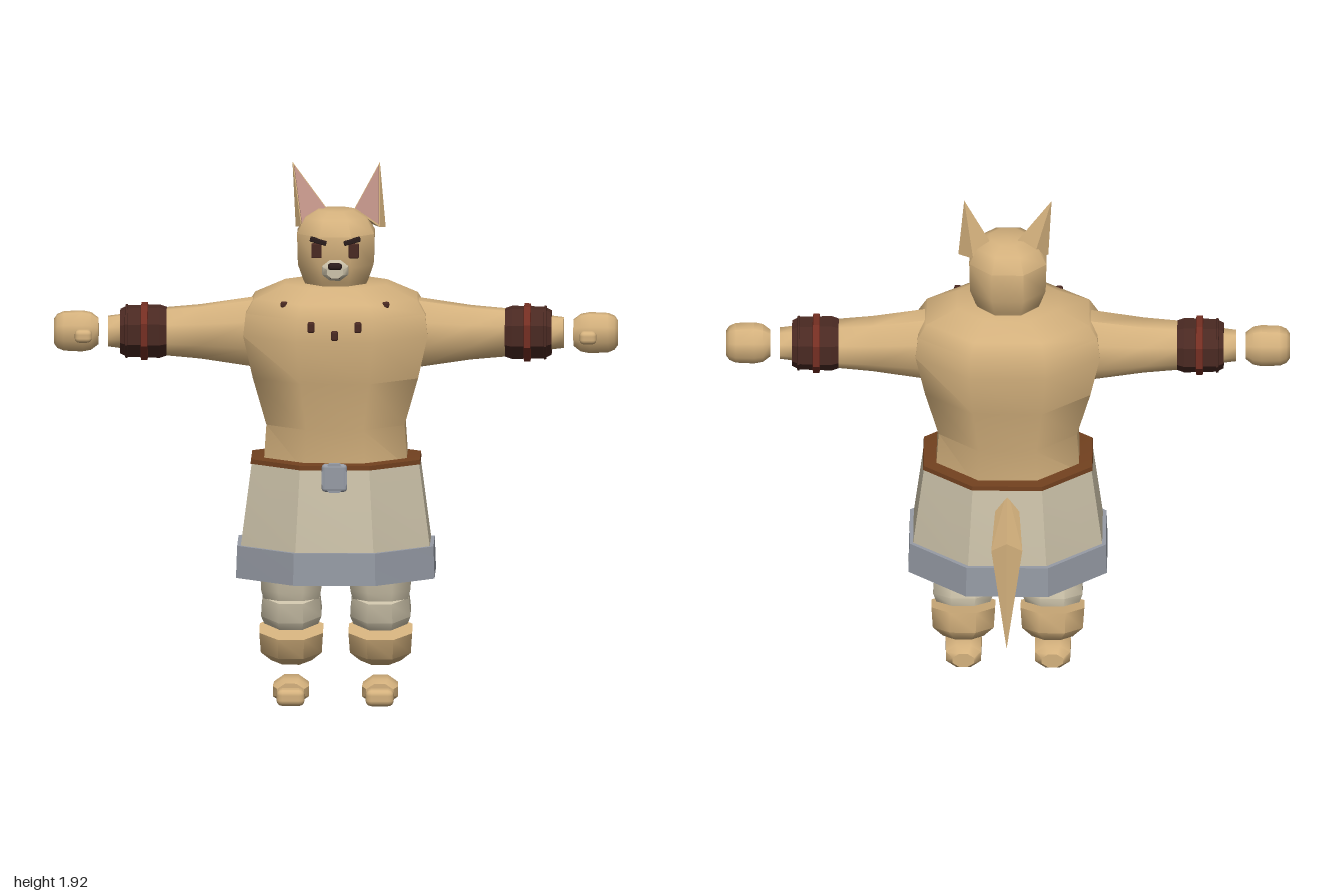
import * as THREE from 'three';
import { toCreasedNormals } from 'three/addons/utils/BufferGeometryUtils.js';
import { RoundedBoxGeometry } from 'three/addons/geometries/RoundedBoxGeometry.js';
import { ConvexGeometry } from 'three/addons/geometries/ConvexGeometry.js';

const CZ = 0.08; // depth of the body axis

function mat(name, color) {
  const m = new THREE.MeshStandardMaterial({ color });
  m.name = name;
  return m;
}

// Eight-sided loft from rings of [height, half width, half depth], flats facing the axes
function loft(rings, smooth = true) {
  const k = 1 / Math.cos(Math.PI / 8);
  const pts = rings.map(([y, rx]) => new THREE.Vector2(rx * k, y));
  const geo = new THREE.LatheGeometry(pts, 8, Math.PI / 8);
  const p = geo.attributes.position;
  for (let i = 0; i < p.count; i++) {
    const [, rx, rz = rx] = rings[i % rings.length];
    if (rx > 0) p.setZ(i, p.getZ(i) * rz / rx);
  }
  return toCreasedNormals(geo, smooth ? 0.87 : 0.1);
}

// Closes both ends of a ring list
function capped(rings) {
  return [[rings[0][0], 0], ...rings, [rings[rings.length - 1][0], 0]];
}

export function createModel() {
  const fur = mat('tan fur', 0xd4b17d);
  const cloth = mat('beige cloth', 0xcdc3aa);
  const steel = mat('grey trim', 0x969ba5);
  const leather = mat('dark leather', 0x4a2922);
  const red = mat('red strap', 0x742e22);
  const belt = mat('belt brown', 0x72411f);
  const pink = mat('ear pink', 0xc4968a);
  const dark = mat('nose black', 0x2a1c1b);

  const model = new THREE.Group();
  model.name = 'wolfWarrior';
  function add(name, geo, material, x = 0, y = 0, z = 0, parent = model) {
    const mesh = new THREE.Mesh(geo, material);
    mesh.name = name;
    mesh.position.set(x, y, z);
    parent.add(mesh);
    return mesh;
  }
  const box = (w, h, d, r = 0.3) =>
    new RoundedBoxGeometry(w, h, d, 2, Math.min(w, h, d) * r);
  const hull = (pts) => new ConvexGeometry(pts.map((p) => new THREE.Vector3(...p)));

  // Torso
  add('torso', loft(capped([
    [0.85, 0.255, 0.21], [1.0, 0.245, 0.21], [1.17, 0.293, 0.243], [1.32, 0.327, 0.252],
    [1.4, 0.318, 0.244], [1.45, 0.288, 0.222], [1.5, 0.18, 0.155],
  ])), fur, 0, 0, CZ);

  // Skirt, hem, belt and buckle
  add('skirt', loft(capped([[0.48, 0.34, 0.281], [0.57, 0.335, 0.277], [0.87, 0.296, 0.245]]), false),
    cloth, 0, 0, CZ);
  add('skirtHem', loft([[0.455, 0], [0.455, 0.352, 0.296], [0.57, 0.348, 0.292], [0.57, 0.325, 0.268]], false),
    steel, 0, 0, CZ);
  add('belt', loft([[0.862, 0.301, 0.249], [0.878, 0.299, 0.248], [0.882, 0.25, 0.205]], false),
    belt, 0, 0, CZ);
  add('buckle', box(0.09, 0.1, 0.026, 0.5), steel, 0, 0.84, 0.36);
  add('buckleFace', loft(capped([[-0.011, 0.045, 0.052], [0.011, 0.045, 0.052]]), false)
    .rotateX(Math.PI / 2), steel, 0, 0.84, 0.36);

  // Chest marks
  for (const [x, y, z, h] of [[0, 1.345, 0.333, 0.035], [0.083, 1.375, 0.33, 0.038],
    [-0.083, 1.375, 0.33, 0.038], [0.18, 1.445, 0.252, 0.02], [-0.18, 1.445, 0.252, 0.02]]) {
    add('chestMark', box(0.025, h, 0.025), leather, x, y, z);
  }

  // Head
  add('head', loft(capped([
    [1.48, 0.1, 0.1], [1.515, 0.115, 0.115], [1.57, 0.134, 0.134], [1.68, 0.137, 0.137],
    [1.735, 0.108, 0.108], [1.76, 0.062, 0.062],
  ])), fur, 0, 0, CZ - 0.003);
  add('snout', loft(capped([
    [0.18, 0.05, 0.04], [0.235, 0.044, 0.034], [0.262, 0.028, 0.022],
  ])).rotateX(Math.PI / 2), cloth, 0, 1.562, 0);
  add('nose', box(0.05, 0.024, 0.03, 0.45), dark, 0, 1.583, 0.262);
  add('mouth', box(0.035, 0.008, 0.008), dark, 0, 1.542, 0.254);

  for (const s of [-1, 1]) {
    // Face details
    add('eye', box(0.036, 0.052, 0.02, 0.2), leather, s * 0.066, 1.632, 0.212);
    add('brow', box(0.06, 0.016, 0.03, 0.2), dark, s * 0.06, 1.667, 0.215).rotation.z = s * 0.28;

    // Ear with pink inner face
    const d = s > 0 ? 0.033 : 0;
    const tip = [s * 0.155, 1.925, 0.047];
    const inner = [s * 0.03 + d, 1.755, 0.05];
    const front = [s * 0.123 + d, 1.7, 0.102];
    add('ear', hull([tip, inner, front, [s * 0.143 + d, 1.695, 0.065], [s * 0.09 + d, 1.7, 0.025]]), fur);
    const tri = [tip, inner, front].map((p) => new THREE.Vector3(...p));
    const mid = tri[0].clone().add(tri[1]).add(tri[2]).divideScalar(3);
    const n = new THREE.Triangle(...tri).getNormal(new THREE.Vector3());
    if (n.z < 0) n.negate();
    const plate = tri.map((v) => v.clone().lerp(mid, 0.1));
    add('earInner', new ConvexGeometry([...plate,
      ...plate.map((v) => v.clone().addScaledVector(n, 0.004))]), pink);

    // Arm, bracer and hand, lofted outwards along x
    const arm = new THREE.Group();
    arm.name = s > 0 ? 'leftArm' : 'rightArm';
    arm.position.set(0, 1.32, 0.077);
    model.add(arm);
    const limb = (name, rings, m, smooth) =>
      add(name, loft(rings, smooth).rotateZ(-s * Math.PI / 2), m, 0, 0, 0, arm);
    limb('upperArm', capped([[0.22, 0.13, 0.1], [0.3, 0.118, 0.098], [0.48, 0.092, 0.088],
      [0.62, 0.08, 0.08]]), fur);
    limb('bracer', capped([[0.6, 0.082], [0.625, 0.09], [0.74, 0.087], [0.765, 0.075]]), leather, false);
    limb('bracerStrap', [[0.664, 0.08], [0.668, 0.098], [0.69, 0.098], [0.694, 0.08]], red, false);
    limb('bracerEdge', [[0.735, 0.08], [0.739, 0.091], [0.746, 0.09], [0.75, 0.075]], leather, false);
    limb('wrist', capped([[0.74, 0.06], [0.808, 0.052]]), fur);
    limb('hand', capped([[0.842, 0.045, 0.04], [0.868, 0.064, 0.056], [0.9, 0.07, 0.06],
      [0.965, 0.067, 0.06], [0.988, 0.058, 0.05], [1.0, 0.042, 0.036]]), fur);
    add('thumb', box(0.06, 0.046, 0.06, 0.35), fur, s * 0.895, -0.008, 0.06, arm);

    // Leg wraps, shin and separate foot
    const leg = new THREE.Group();
    leg.name = s > 0 ? 'leftLeg' : 'rightLeg';
    leg.position.set(s * 0.158, 0, 0.075);
    model.add(leg);
    add('thigh', loft(capped([[0.37, 0.098, 0.098], [0.4, 0.106, 0.106], [0.52, 0.112, 0.112]])),
      cloth, 0, 0, 0.015, leg);
    const wrap = add('kneeWrap', loft(capped([[-0.05, 0.096, 0.1], [-0.02, 0.107, 0.11],
      [0.05, 0.1, 0.1]])), cloth, 0, 0.335, 0, leg);
    wrap.rotation.x = 0.25;
    const shin = add('shin', loft(capped([[-0.065, 0.072, 0.075], [-0.03, 0.108, 0.108],
      [0.045, 0.113, 0.113]])), fur, 0, 0.212, -0.006, leg);
    shin.rotation.x = 0.22;
    add('foot', loft(capped([[-0.085, 0.038, 0.026], [-0.055, 0.062, 0.044], [0.05, 0.064, 0.044],
      [0.085, 0.048, 0.032]])).rotateX(Math.PI / 2), fur, 0, 0.045, 0.05, leg);
    add('toe', box(0.1, 0.06, 0.075, 0.35), fur, 0, 0.031, 0.143, leg);
  }

  // Bent tail in two tapering pieces
  const bend = [[0, 0.745, -0.345], [0.055, 0.7, -0.315], [-0.055, 0.7, -0.315], [0, 0.63, -0.275]];
  add('tailBase', hull([[0, 0.85, -0.14], [0.04, 0.8, -0.14], [-0.04, 0.8, -0.14], [0, 0.75, -0.14],
    ...bend]), fur);
  add('tailTip', hull([...bend, [0, 0.335, -0.378]]), fur);

  return model;
}
